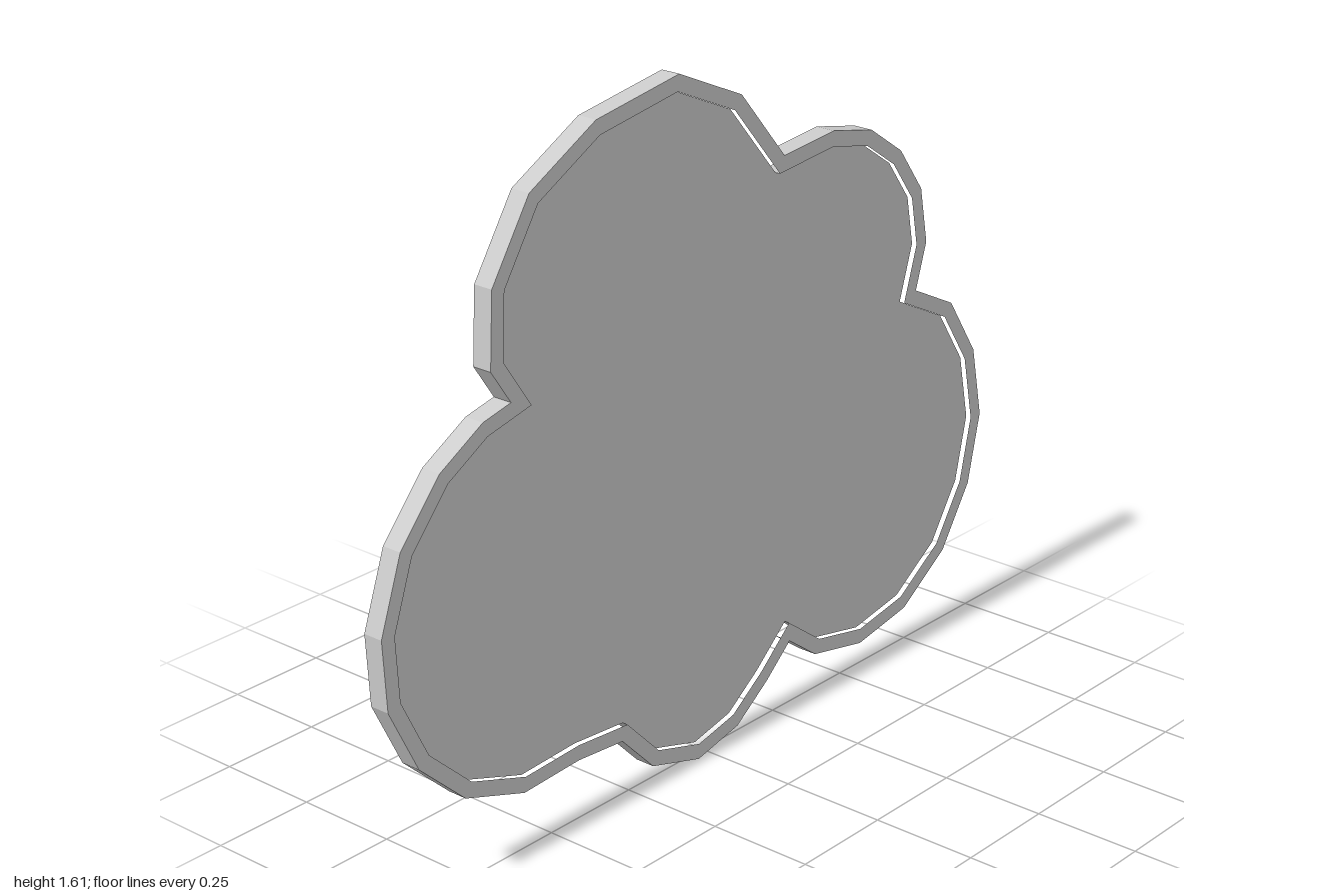
import * as THREE from 'three';

const THICKNESS = 0.048; // full depth of the rim
const RECESS = 0.013;    // how far the panel sits below the rim on each side
const RIM_WIDTH = 0.036;

// Cloud outline, clockwise from the top
const OUTLINE = [
  [-0.10, 1.61], [0.10, 1.52], [0.245, 1.35], [0.415, 1.365], [0.55, 1.335], [0.66, 1.26],
  [0.74, 1.15], [0.765, 1.015], [0.73, 0.905], [0.87, 0.835], [0.965, 0.69], [1, 0.515],
  [0.96, 0.345], [0.865, 0.20], [0.715, 0.10], [0.545, 0.07], [0.375, 0.105], [0.28, 0.175],
  [0.20, 0.105], [0.095, 0.03], [-0.04, 0], [-0.195, 0.045], [-0.295, 0.147], [-0.435, 0.158],
  [-0.605, 0.15], [-0.78, 0.21], [-0.91, 0.33], [-0.99, 0.49], [-1, 0.655], [-0.94, 0.825],
  [-0.825, 0.955], [-0.70, 1.025], [-0.618, 1.043], [-0.674, 1.125], [-0.665, 1.297],
  [-0.553, 1.468], [-0.355, 1.572],
].map(([x, y]) => new THREE.Vector2(x, y));

// Moves every edge of a clockwise loop inwards by d, with mitred corners
function inset(points, d) {
  const n = points.length;
  const inward = (a, b) => new THREE.Vector2(b.y - a.y, a.x - b.x).normalize();
  return points.map((p, i) => {
    const n1 = inward(points[(i + n - 1) % n], p);
    const n2 = inward(p, points[(i + 1) % n]);
    const miter = n1.clone().add(n2);
    return p.clone().addScaledVector(miter, d / (1 + n1.dot(n2)));
  });
}

// Extrudes a shape to a slab centred on z = 0
function slab(name, shape, depth, material) {
  const geometry = new THREE.ExtrudeGeometry(shape, { depth, bevelEnabled: false });
  geometry.translate(0, 0, -depth / 2);
  const mesh = new THREE.Mesh(geometry, material);
  mesh.name = name;
  return mesh;
}

export function createModel() {
  const group = new THREE.Group();
  group.name = 'cloudPlaque';
  const material = new THREE.MeshStandardMaterial({ color: 0xcccccc, flatShading: true });
  const inner = inset(OUTLINE, RIM_WIDTH);

  // Raised border around the cloud
  const rimShape = new THREE.Shape(OUTLINE);
  rimShape.holes.push(new THREE.Path(inner));
  group.add(slab('rim', rimShape, THICKNESS, material));

  // Flat panel, recessed on both faces
  group.add(slab('panel', new THREE.Shape(inner), THICKNESS - 2 * RECESS, material));

  return group;
}
